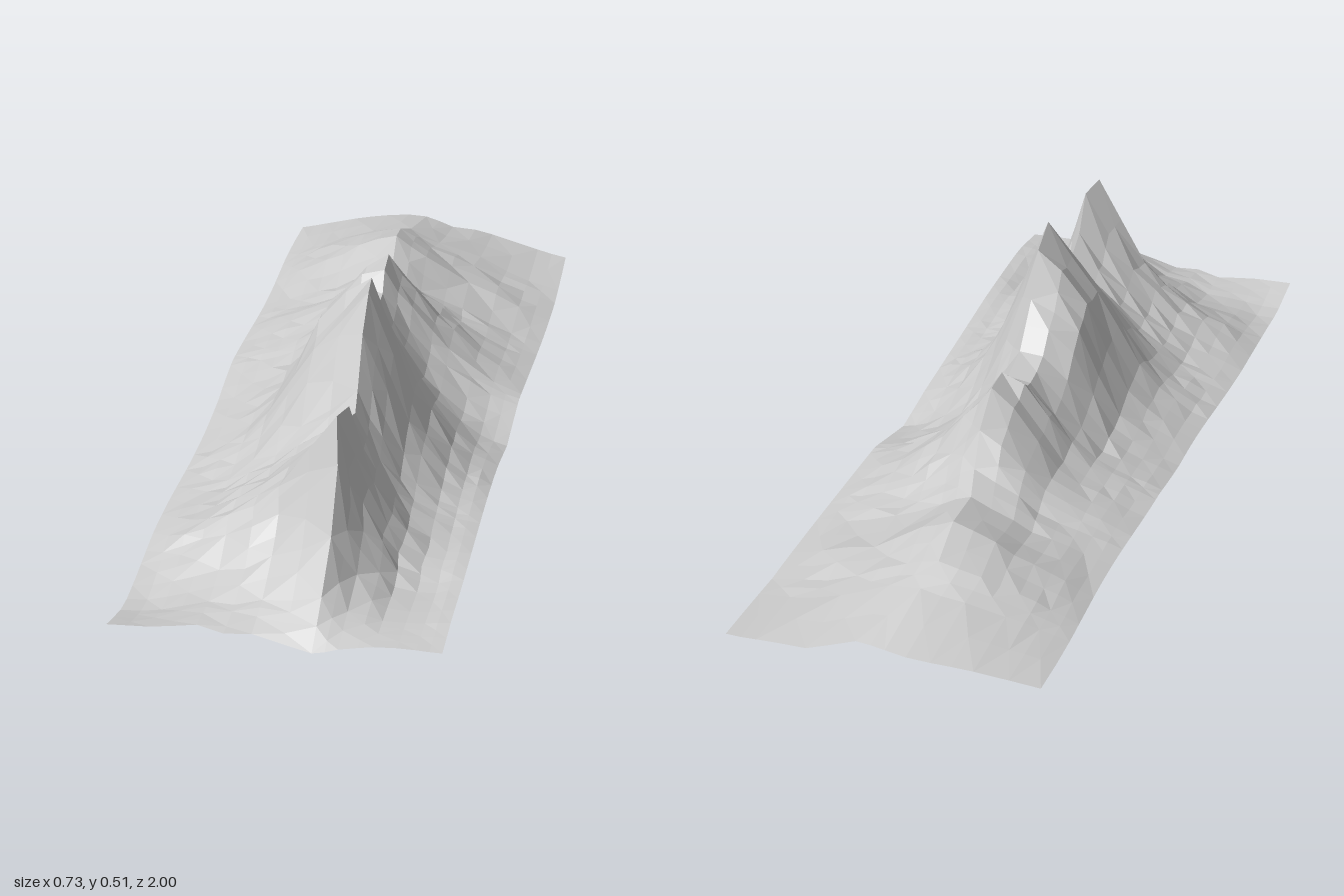
import * as THREE from 'three';

// Linear lookup: rows of [key, ...values], keys descending
function lookup(table, key) {
  if (key >= table[0][0]) return table[0].slice(1);
  for (let i = 1; i < table.length; i++) {
    const a = table[i - 1], b = table[i];
    if (key >= b[0]) {
      const k = (a[0] - key) / (a[0] - b[0]);
      return a.slice(1).map((v, j) => v + (b[j + 1] - v) * k);
    }
  }
  return table[table.length - 1].slice(1);
}

// Ridge line: z, x, y
const CREST = [
  [1, 0.09, 0.035], [0.95, 0.09, 0.07], [0.9, 0.09, 0.11], [0.8, 0.09, 0.2], [0.72, 0.088, 0.33],
  [0.67, 0.075, 0.42], [0.6, 0.088, 0.41], [0.52, 0.075, 0.34], [0.45, 0.07, 0.31], [0.4, 0.065, 0.34],
  [0.32, 0.06, 0.44], [0.25, 0.06, 0.513], [0.14, 0.045, 0.495], [0.05, 0.03, 0.41], [-0.05, 0.022, 0.325],
  [-0.15, 0.015, 0.315], [-0.2, 0.01, 0.355], [-0.28, 0.005, 0.36], [-0.37, 0, 0.3], [-0.43, -0.01, 0.235],
  [-0.5, -0.03, 0.21], [-0.64, -0.045, 0.24], [-0.75, -0.055, 0.21], [-0.82, -0.04, 0.18], [-1, -0.03, 0.138],
];

// Side border heights: z, left-hand border, right-hand border
const BORDER = [
  [1, 0.035, 0.05], [0.88, 0.005, 0.066], [0.6, 0.03, 0.06], [0.3, 0.04, 0.045], [0.15, 0.05, 0.035],
  [0, 0.06, 0.012], [-0.17, 0.085, 0.052], [-0.5, 0.09, 0.045], [-0.75, 0.095, 0.042], [-1, 0.095, 0.062],
];

// Slope shapes from border (0) to ridge (1): z, then height at each step
const LEFT_T = [0, 0.1, 0.2, 0.3, 0.42, 0.56, 0.69, 0.85, 1];
const LEFT_SHAPE = [
  [0.9, 0, 0, 0.08, 0.16, 0.26, 0.38, 0.52, 0.75, 1],
  [0.65, 0, 0.06, 0.12, 0.17, 0.24, 0.36, 0.5, 0.74, 1],
  [0.45, 0, 0.05, 0.1, 0.16, 0.27, 0.44, 0.6, 0.8, 1],
  [0.2, 0, 0.03, 0.08, 0.14, 0.25, 0.46, 0.68, 0.85, 1],
  [0, 0, 0.04, 0.09, 0.14, 0.24, 0.5, 0.85, 0.98, 1],
  [-0.14, 0, 0.05, 0.1, 0.14, 0.22, 0.4, 0.68, 0.97, 1],
  [-0.25, 0, 0.05, 0.1, 0.15, 0.21, 0.33, 0.58, 0.86, 1],
  [-0.6, 0, 0.1, 0.21, 0.32, 0.42, 0.55, 0.74, 0.88, 1],
  [-1, 0, 0.16, 0.32, 0.46, 0.62, 0.78, 0.88, 0.96, 1],
];
const RIGHT_T = [0, 0.1, 0.2, 0.35, 0.47, 0.65, 0.8, 0.9, 1];
const RIGHT_SHAPE = [
  [0.9, 1, 0.6, 0.3, 0.05, -0.15, -0.2, -0.15, -0.04, 0],
  [0.65, 1, 0.68, 0.45, 0.23, 0.09, 0.01, -0.01, 0, 0],
  [0.25, 1, 0.84, 0.68, 0.41, 0.26, 0.12, 0.05, 0.03, 0],
  [-0.1, 1, 0.82, 0.66, 0.45, 0.32, 0.16, 0.07, 0.03, 0],
  [-0.5, 1, 0.86, 0.72, 0.53, 0.41, 0.25, 0.13, 0.06, 0],
  [-1, 1, 0.92, 0.83, 0.66, 0.51, 0.3, 0.15, 0.07, 0],
];

// How far the ragged end edges reach: x, front, back
const ENDS = [
  [0.36, 0.965, 0.97], [0.24, 0.97, 0.985], [0.15, 0.985, 1], [0.1, 1, 0.99], [0.05, 0.985, 0.97],
  [-0.05, 0.95, 1], [-0.1, 0.965, 1], [-0.16, 0.935, 0.99], [-0.26, 0.965, 0.97], [-0.36, 0.975, 0.95],
];

// Small seeded roughness in -1..1
function rough(r, c) {
  const s = Math.sin(r * 12.99 + c * 78.23) * 43758.55;
  return (s - Math.floor(s)) * 2 - 1;
}

// One cross-section of the terrain at depth z
function section(z, row) {
  const [rx, ry] = lookup(CREST, z);
  const [ly, by] = lookup(BORDER, z);
  const ls = lookup(LEFT_SHAPE, z), rs = lookup(RIGHT_SHAPE, z);
  const minX = -0.363 + 0.004 * Math.sin(z * 9);
  const maxX = 0.355 + 0.007 * Math.sin(z * 4 - 2);
  const pts = LEFT_T.map((t, i) => [minX + (rx - minX) * t, ly + (ry - ly) * ls[i]]);
  RIGHT_T.slice(1).forEach((t, i) =>
    pts.push([rx + (maxX - rx) * t, by + (ry - by) * rs[i + 1]]));
  return pts.map(([x, y], c) => {
    const border = c === 0 || c === pts.length - 1 || c === LEFT_T.length - 1;
    // roughness grows with the steepness of the slope
    const n = border ? 0 : 0.1 * Math.abs(pts[c + 1][1] - pts[c - 1][1]) * rough(row, c);
    const [front, back] = lookup(ENDS, x);
    return [x, Math.max(0, y + Math.max(-0.006, Math.min(0.006, n))), z * (z > 0 ? front : back)];
  });
}

export function createModel() {
  const group = new THREE.Group();
  group.name = 'mountainRange';

  // Depth stations: each ridge point and the midpoint to the next
  const depths = [];
  CREST.forEach(([z], i) => {
    depths.push(z);
    if (i < CREST.length - 1) depths.push((z + CREST[i + 1][0]) / 2);
  });
  const rows = depths.map(section);
  const cols = rows[0].length;

  // Skin the cross-sections, alternating the diagonals
  const index = [];
  for (let r = 0; r < rows.length - 1; r++) {
    for (let c = 0; c < cols - 1; c++) {
      const a = r * cols + c, b = a + 1, d = a + cols, e = d + 1;
      if ((r + c) % 2) index.push(a, b, d, b, e, d);
      else index.push(a, b, e, a, e, d);
    }
  }
  const geometry = new THREE.BufferGeometry();
  geometry.setAttribute('position', new THREE.Float32BufferAttribute(rows.flat(2), 3));
  geometry.setIndex(index);
  geometry.computeVertexNormals();

  const terrain = new THREE.Mesh(geometry, new THREE.MeshStandardMaterial({
    color: 0xcccccc, flatShading: true, side: THREE.DoubleSide,
  }));
  terrain.name = 'mountainTerrain';
  group.add(terrain);
  return group;
}
